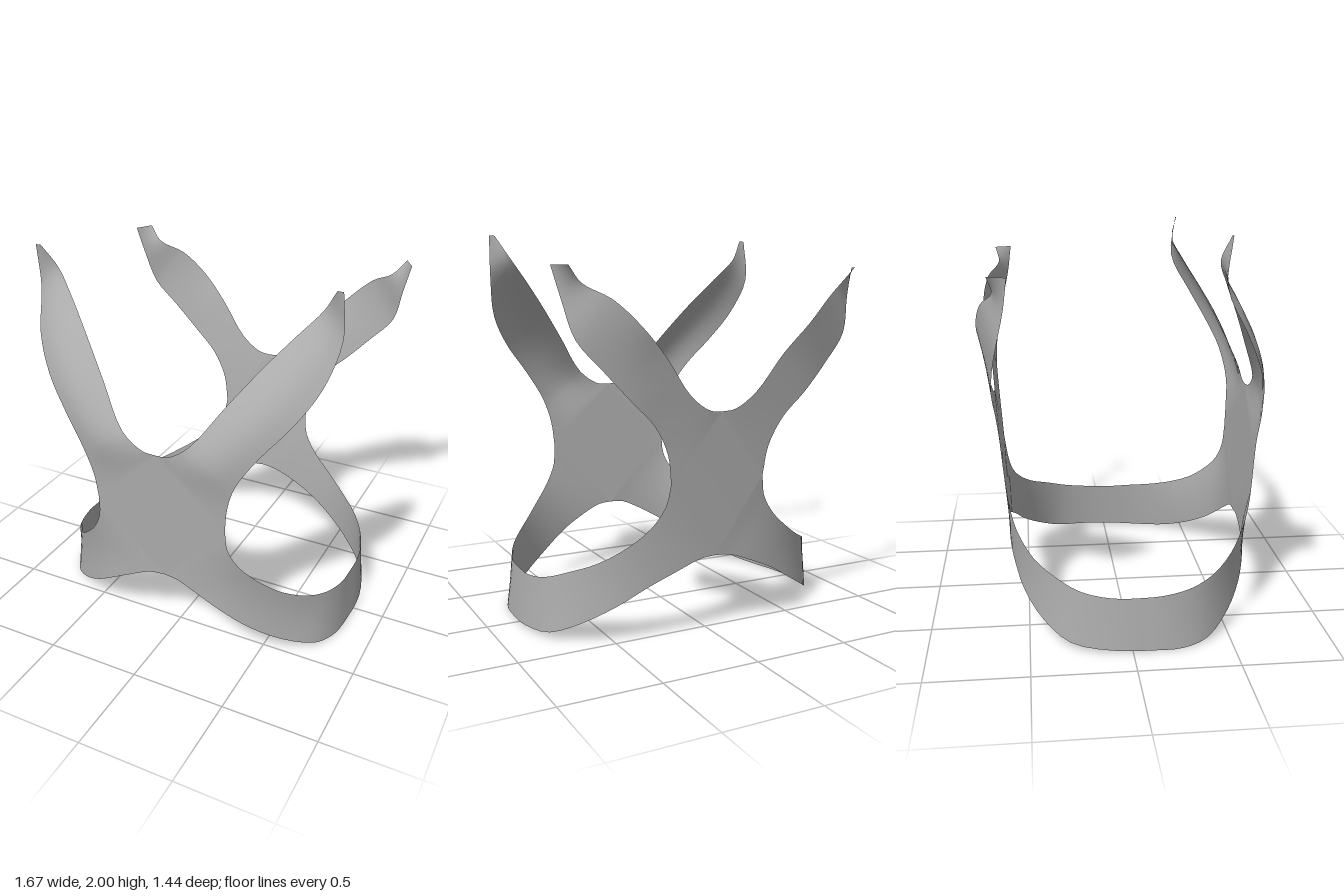
import * as THREE from 'three';

const fabric = new THREE.MeshStandardMaterial({ color: 0xaeaeae, side: THREE.DoubleSide });
fabric.name = 'light grey fabric';

const ACROSS = 6; // divisions over the width of a strap

// Smooth band lofted between two edge curves, its middle bulging by some depth in z
function band(name, edgeA, edgeB, steps, bulge) {
  const curve = pts => new THREE.CatmullRomCurve3(pts.map(p => new THREE.Vector3(...p)), false, 'centripetal');
  const a = curve(edgeA), b = curve(edgeB);
  const pos = [], index = [], p = new THREE.Vector3(), row = ACROSS + 1;
  for (let i = 0; i <= steps; i++) {
    const t = i / steps, pa = a.getPoint(t), pb = b.getPoint(t);
    for (let j = 0; j <= ACROSS; j++) {
      const s = j / ACROSS;
      p.lerpVectors(pa, pb, s);
      pos.push(p.x, p.y, p.z + bulge * Math.sin(Math.PI * t) ** 2 * Math.sin(Math.PI * s));
    }
  }
  for (let i = 0; i < steps; i++) {
    for (let j = 0; j < ACROSS; j++) {
      const k = i * row + j;
      index.push(k, k + 1, k + row, k + 1, k + row + 1, k + row);
    }
  }
  return surface(name, pos, index);
}

function surface(name, pos, index) {
  const g = new THREE.BufferGeometry();
  g.setAttribute('position', new THREE.Float32BufferAttribute(pos, 3));
  g.setIndex(index);
  g.computeVertexNormals();
  const mesh = new THREE.Mesh(g, fabric);
  mesh.name = name;
  return mesh;
}

// Diamond where the four straps of one panel meet
function panel(name, top, side, bottom, middleZ, facing) {
  const pos = [0, 0.8, middleZ, ...top, -side[0], side[1], side[2], ...bottom, ...side];
  const index = [];
  for (let i = 0; i < 4; i++) {
    const p = 1 + i, q = 1 + (i + 1) % 4;
    index.push(0, ...(facing > 0 ? [p, q] : [q, p]));
  }
  return surface(name, pos, index);
}

export function createModel() {
  const model = new THREE.Group();
  model.name = 'strapHarness';

  // Front upper strap, leaning back over the shoulder
  const frontInner = [
    [0, 1.14, 0.71], [0.07, 1.149, 0.712], [0.18, 1.225, 0.705], [0.33, 1.43, 0.62], [0.47, 1.615, 0.535],
    [0.6, 1.77, 0.455], [0.7, 1.885, 0.405], [0.77, 2, 0.44],
  ];
  const frontOuter = [
    [0.36, 0.8, 0.685], [0.375, 0.93, 0.692], [0.42, 1.07, 0.70], [0.53, 1.24, 0.675], [0.66, 1.4, 0.61],
    [0.76, 1.57, 0.52], [0.805, 1.77, 0.42], [0.8, 2, 0.44],
  ];

  // Back upper strap, with a flared and twisted end
  const backInner = [
    [0, 1.14, -0.655], [0.07, 1.149, -0.66], [0.18, 1.225, -0.67], [0.32, 1.41, -0.695], [0.46, 1.56, -0.718],
    [0.59, 1.68, -0.69], [0.71, 1.75, -0.63], [0.78, 1.83, -0.65],
  ];
  const backOuter = [
    [0.26, 0.8, -0.62], [0.285, 0.95, -0.632], [0.36, 1.09, -0.645], [0.48, 1.21, -0.655], [0.62, 1.36, -0.645],
    [0.74, 1.5, -0.62], [0.79, 1.68, -0.58], [0.83, 1.83, -0.56],
  ];

  // Lower strap, running round the side from front panel to back panel
  const sideUpper = [
    [0.36, 0.8, 0.685], [0.37, 0.68, 0.675], [0.42, 0.58, 0.65], [0.5, 0.49, 0.6], [0.6, 0.4, 0.52],
    [0.7, 0.335, 0.41], [0.765, 0.3, 0.29], [0.8, 0.285, 0.16], [0.805, 0.28, 0.05], [0.805, 0.285, -0.1],
    [0.77, 0.31, -0.25], [0.69, 0.36, -0.375], [0.58, 0.415, -0.475], [0.45, 0.5, -0.55], [0.35, 0.585, -0.585],
    [0.28, 0.69, -0.605], [0.26, 0.8, -0.62],
  ];
  const sideLower = [
    [0, 0.41, 0.665], [0.08, 0.402, 0.668], [0.2, 0.345, 0.665], [0.32, 0.275, 0.65], [0.46, 0.18, 0.6],
    [0.61, 0.09, 0.51], [0.75, 0.02, 0.38], [0.81, 0.004, 0.25], [0.83, 0.01, 0.1], [0.83, 0.02, -0.1],
    [0.77, 0.04, -0.3], [0.65, 0.11, -0.43], [0.5, 0.2, -0.52], [0.36, 0.285, -0.565], [0.22, 0.35, -0.59],
    [0.08, 0.402, -0.597], [0, 0.41, -0.6],
  ];

  model.add(
    panel('frontPanel', frontInner[0], frontOuter[0], sideLower[0], 0.69, 1),
    panel('backPanel', backInner[0], backOuter[0], sideLower[16], -0.625, -1),
  );

  // Each strap and its mirror image; swapping the edges keeps faces outward
  const straps = [
    ['FrontShoulderStrap', frontInner, frontOuter, 28, 0.04],
    ['BackShoulderStrap', backOuter, backInner, 28, 0],
    ['SideStrap', sideUpper, sideLower, 48, 0],
  ];
  const flip = pts => pts.map(([x, y, z]) => [-x, y, z]);
  for (const [name, a, b, steps, bulge] of straps) {
    model.add(band('left' + name, a, b, steps, bulge));
    model.add(band('right' + name, flip(b), flip(a), steps, bulge));
  }
  return model;
}
